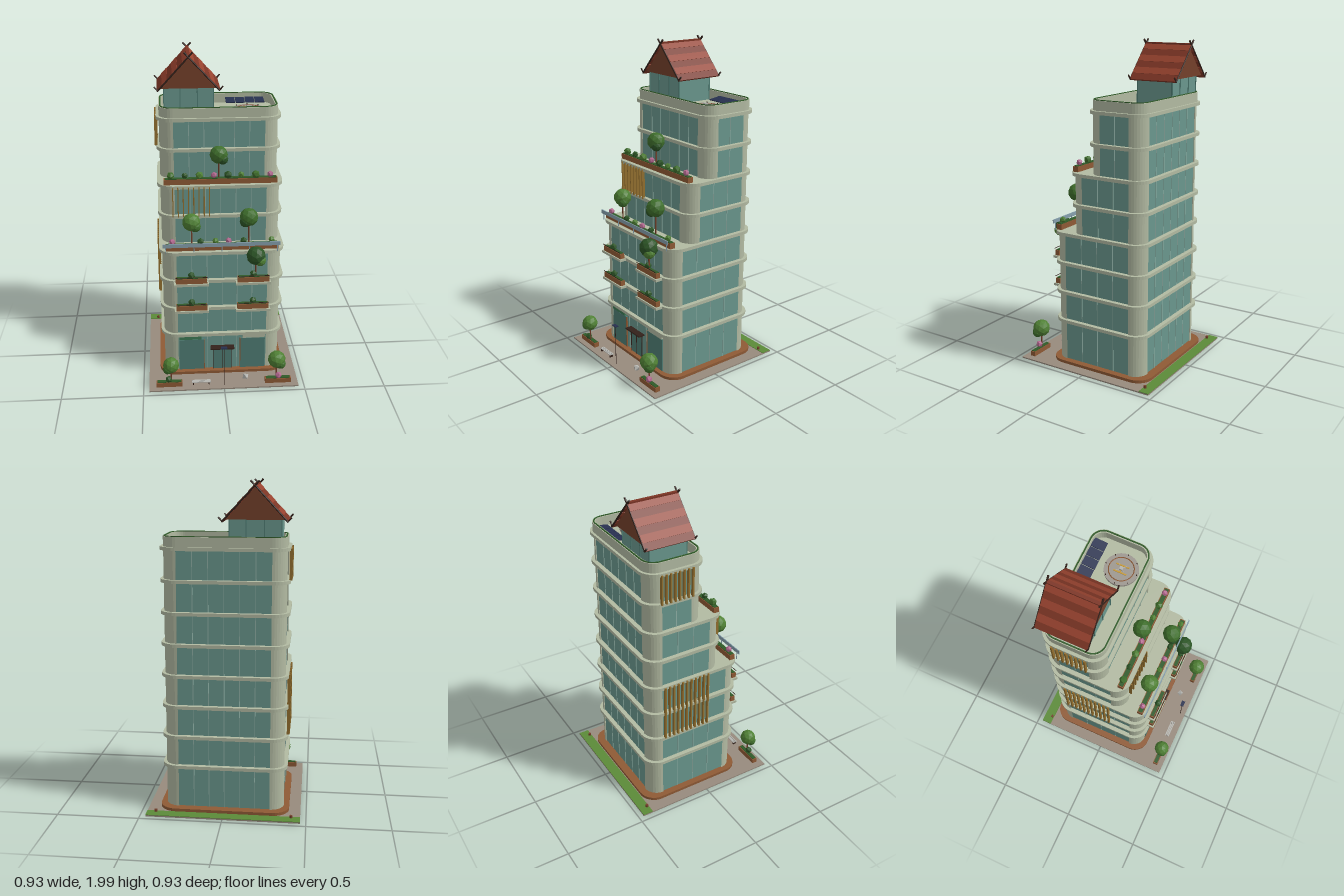
import * as THREE from 'three';

const C = { stone: 0xb2baa2, glass: 0x6a978d, shop: 0x4f7d74, mullion: 0x8fb0a6, wood: 0x8f5a35, slat: 0x94702f,
  dark: 0x33211a, tileA: 0x98432f, tileB: 0x7c3525, gable: 0x74402a, hedge: 0x2f5a28, grass: 0x5b8a38,
  paving: 0x978a7d, navy: 0x27304f, rail: 0x86a0ad, pink: 0xb3688f, yellow: 0xc79a35, grey: 0xb5b5b0, pad: 0x9d9890 };
const LEAVES = [0x3f6f2c, 0x2c5526, 0x4f8034];
const mats = {};
const mat = (color) => mats[color] ??= new THREE.MeshStandardMaterial({ color, flatShading: true, side: THREE.DoubleSide });

function add(parent, name, geo, color, x = 0, y = 0, z = 0) {
  const m = new THREE.Mesh(geo, mat(color));
  m.name = name;
  m.position.set(x, y, z);
  parent.add(m);
  return m;
}

// Box given by its extents on each axis
function box(parent, name, color, x0, x1, y0, y1, z0, z1) {
  return add(parent, name, new THREE.BoxGeometry(x1 - x0, y1 - y0, z1 - z0), color, (x0 + x1) / 2, (y0 + y1) / 2, (z0 + z1) / 2);
}

// Rounded rectangle in plan; the shape's y is -z
function plan(x, z0, z1, r, Type = THREE.Shape) {
  const s = new Type(), a = -z1, b = -z0;
  s.moveTo(-x + r, a);
  s.absarc(x - r, a + r, r, -Math.PI / 2, 0);
  s.absarc(x - r, b - r, r, 0, Math.PI / 2);
  s.absarc(-x + r, b - r, r, Math.PI / 2, Math.PI);
  s.absarc(-x + r, a + r, r, Math.PI, Math.PI * 1.5);
  return s;
}

function extrudeUp(parent, name, shape, color, y0, y1) {
  const g = new THREE.ExtrudeGeometry(shape, { depth: y1 - y0, bevelEnabled: false, curveSegments: 4 });
  return add(parent, name, g.rotateX(-Math.PI / 2), color, 0, y0, 0);
}

function ring(parent, name, color, x, z0, z1, r, t, y0, y1) {
  const s = plan(x, z0, z1, r);
  s.holes.push(plan(x - t, z0 + t, z1 - t, r - t, THREE.Path));
  return extrudeUp(parent, name, s, color, y0, y1);
}

// Thin bar between two points
function bar(parent, name, color, a, b, r, sides = 6) {
  const p = new THREE.Vector3(...a), d = new THREE.Vector3(...b).sub(p);
  const m = add(parent, name, new THREE.CylinderGeometry(r, r, d.length(), sides), color);
  m.position.copy(p).addScaledVector(d, 0.5);
  m.quaternion.setFromUnitVectors(new THREE.Vector3(0, 1, 0), d.normalize());
  return m;
}

function shrub(parent, x, y, z, r, color) {
  const m = add(parent, 'shrub', new THREE.IcosahedronGeometry(r, 0), color, x, y, z);
  m.rotation.set(x * 9, x * 20, z * 5);
}

function tree(parent, x, y0, y, z, r, i) {
  const t = new THREE.Group();
  t.name = 'tree';
  bar(t, 'trunk', C.gable, [x, y0, z], [x, y, z], 0.005);
  const crown = add(t, 'crown', new THREE.IcosahedronGeometry(r, 1), LEAVES[i % 3], x, y, z);
  crown.rotation.set(i, i * 2, 0);
  const s = i % 2 ? -1 : 1;
  add(t, 'sideCrown', new THREE.IcosahedronGeometry(r * 0.62, 1), LEAVES[(i + 1) % 3], x + s * r * 0.4, y - r * 0.42, z + r * 0.25);
  parent.add(t);
}

function planter(parent, x0, x1, y0, y1, z0, z1) {
  box(parent, 'planter', C.wood, x0, x1, y0, y1, z0, z1);
  box(parent, 'planterGreenery', C.hedge, x0 + 0.006, x1 - 0.006, y1, y1 + 0.004, z0 + 0.004, z1 - 0.004);
}

// One set-back stage: glass core, curved corner piers and mullions
const X = 0.362, BACK = -0.352, R = 0.085;
function tier(parent, y0, y1, front) {
  const g = new THREE.Group();
  g.name = 'towerStage';
  const d = 0.008;
  extrudeUp(g, 'glassCore', plan(X - d, BACK + d, front - d, R - d), C.glass, y0, y1);
  for (const sx of [-1, 1]) for (const [ze, sz] of [[front, -1], [BACK, 1]]) {
    const cx = sx * (X - R), cy = -(ze + sz * R), s = new THREE.Shape();
    const start = Math.atan2(sz, sx) - Math.PI / 4;
    s.moveTo(cx, cy);
    s.absarc(cx, cy, R, start, start + Math.PI / 2);
    extrudeUp(g, 'cornerPier', s, C.stone, y0, y1);
  }
  for (let i = 1; i < 6; i++) {
    const x = -0.277 + i * 0.0923;
    for (const z of [front - d, BACK + d]) box(g, 'mullion', C.mullion, x - 0.002, x + 0.002, y0, y1, z - 0.003, z + 0.003);
  }
  const zA = BACK + R, n = Math.round((front - R - zA) / 0.1);
  for (let i = 1; i < n; i++) {
    const z = zA + (front - R - zA) * i / n;
    for (const x of [-X + d, X - d]) box(g, 'mullion', C.mullion, x - 0.003, x + 0.003, y0, y1, z - 0.002, z + 0.002);
  }
  parent.add(g);
}

function penthouse(parent) {
  const g = new THREE.Group();
  g.name = 'penthouse';
  const cx = -0.178, top = 1.97, eave = 1.768, hw = 0.187, z0 = -0.37, z1 = -0.06;
  box(g, 'penthouseWalls', C.glass, -0.33, -0.026, 1.62, 1.79, -0.325, -0.09);
  for (const x of [-0.328, -0.23, -0.126, -0.028]) for (const z of [-0.325, -0.09])
    box(g, 'penthousePost', C.shop, x - 0.003, x + 0.003, 1.62, 1.79, z - 0.004, z + 0.004);
  // Gable fill under the roof
  const tri = new THREE.Shape([new THREE.Vector2(-hw + 0.02, eave + 0.012), new THREE.Vector2(hw - 0.02, eave + 0.012), new THREE.Vector2(0, top - 0.012)]);
  add(g, 'gable', new THREE.ExtrudeGeometry(tri, { depth: z1 - z0 - 0.03, bevelEnabled: false }), C.gable, cx, 0, z0 + 0.015);
  const len = Math.hypot(hw, top - eave), ang = Math.atan2(top - eave, hw), rows = 6;
  for (const s of [-1, 1]) {
    for (let i = 0; i < rows; i++) {
      const t = (i + 0.5) / rows;
      const m = add(g, 'roofTileRow', new THREE.BoxGeometry(len / rows, i % 2 ? 0.011 : 0.015, z1 - z0), i % 2 ? C.tileB : C.tileA,
        cx + s * hw * t, top - (top - eave) * t, (z0 + z1) / 2);
      m.rotation.z = -s * ang;
    }
    // Bargeboards crossing at the ridge and hooked up at the eaves
    for (const z of [z0, z1]) {
      bar(g, 'bargeboard', C.dark, [cx - s * 0.025, 1.997, z], [cx + s * hw, eave, z], 0.006);
      bar(g, 'eaveHook', C.dark, [cx + s * (hw - 0.006), eave, z], [cx + s * 0.206, 1.795, z], 0.005);
    }
  }
  box(g, 'ridgeCap', C.tileB, cx - 0.01, cx + 0.01, top, top + 0.01, z0, z1);
  parent.add(g);
}

function roofDeck(parent) {
  const g = new THREE.Group();
  g.name = 'roofDeck';
  ring(g, 'parapet', C.stone, X, -0.357, 0.01, R, 0.02, 1.61, 1.68);
  ring(g, 'parapetGreenery', C.hedge, X - 0.005, -0.352, 0.005, R - 0.005, 0.008, 1.68, 1.684);
  // Solar panels
  for (let i = 0; i < 4; i++) {
    const x = 0.06 + i * 0.0615;
    box(g, 'solarPanel', C.navy, x, x + 0.057, 1.645, 1.65, -0.35, -0.255).rotation.x = 0.15;
  }
  // Landing pad with drone
  const px = 0.187, pz = -0.12;
  add(g, 'landingPad', new THREE.CylinderGeometry(0.1, 0.1, 0.015, 28), C.pad, px, 1.632, pz);
  add(g, 'padRing', new THREE.TorusGeometry(0.073, 0.003, 4, 28).rotateX(Math.PI / 2), C.wood, px, 1.641, pz);
  for (const s of [-1, 1]) {
    box(g, 'padMarking', C.yellow, px + s * 0.022 - 0.004, px + s * 0.022 + 0.004, 1.639, 1.643, pz - 0.04, pz + 0.04);
    bar(g, 'droneArm', C.grey, [px - 0.022, 1.652, pz - s * 0.025], [px + 0.022, 1.652, pz + s * 0.025], 0.002);
  }
  box(g, 'padMarking', C.yellow, px - 0.02, px + 0.02, 1.639, 1.643, pz - 0.004, pz + 0.004);
  box(g, 'droneBody', C.grey, px - 0.01, px + 0.01, 1.645, 1.658, pz - 0.01, pz + 0.01);
  for (let i = 0; i < 8; i++) {
    const a = i * Math.PI / 4;
    add(g, 'padLight', new THREE.CylinderGeometry(0.003, 0.003, 0.008, 6), C.dark, px + 0.094 * Math.cos(a), 1.643, pz + 0.094 * Math.sin(a));
  }
  parent.add(g);
}

function gardens(parent) {
  const g = new THREE.Group();
  g.name = 'gardens';
  // Upper terrace
  planter(g, -0.342, 0.342, 1.243, 1.277, 0.095, 0.13);
  [-0.3, -0.215, -0.127, -0.04, 0.045, 0.125, 0.212, 0.3].forEach((x, i) =>
    shrub(g, x, 1.296, 0.113, i % 2 ? 0.02 : 0.025, i === 3 || i === 7 ? C.pink : LEAVES[i % 3]));
  tree(g, -0.01, 1.27, 1.42, 0.1, 0.055, 0);
  // Middle terrace with glass rail
  planter(g, -0.342, 0.342, 0.868, 0.902, 0.225, 0.26);
  box(g, 'glassRail', C.rail, -0.358, 0.348, 0.902, 0.926, 0.279, 0.285);
  for (let i = 0; i < 5; i++) bar(g, 'railPost', C.rail, [-0.34 + i * 0.168, 0.86, 0.278], [-0.34 + i * 0.168, 0.91, 0.278], 0.003);
  [-0.3, -0.13, -0.04, 0.04, 0.13, 0.3].forEach((x, i) =>
    shrub(g, x, 0.922, 0.243, 0.02, i === 0 || i === 3 ? C.pink : LEAVES[i % 3]));
  tree(g, -0.183, 0.9, 1.045, 0.235, 0.055, 2);
  tree(g, 0.162, 0.9, 1.068, 0.232, 0.056, 3);
  // Hanging balconies
  for (const y of [0.49, 0.675]) for (const [x0, x1] of [[-0.285, -0.095], [0.09, 0.283]]) {
    box(g, 'balconySlab', C.stone, x0 - 0.01, x1 + 0.01, y - 0.015, y, 0.26, 0.328);
    planter(g, x0, x1, y, y + 0.033, 0.29, 0.32);
    bar(g, 'balconyRail', C.dark, [x0, y + 0.044, 0.324], [x1, y + 0.044, 0.324], 0.002);
    shrub(g, (x0 + x1) / 2, y + 0.052, 0.307, 0.023, LEAVES[1]);
  }
  tree(g, 0.2, 0.7, 0.848, 0.31, 0.058, 4);
  // Street planters
  for (const s of [-1, 1]) {
    planter(g, s * 0.34 - 0.081, s * 0.34 + 0.081, 0.016, 0.046, 0.397, 0.43);
    shrub(g, s * 0.342, 0.066, 0.42, 0.022, s > 0 ? C.pink : LEAVES[1]);
  }
  tree(g, -0.327, 0.04, 0.168, 0.418, 0.05, 5);
  tree(g, 0.33, 0.04, 0.177, 0.41, 0.055, 2);
  parent.add(g);
}

function streetLevel(parent) {
  const g = new THREE.Group();
  g.name = 'streetLevel';
  box(g, 'paving', C.paving, -0.465, 0.465, 0.008, 0.016, -0.468, 0.465);
  box(g, 'lawn', C.grass, -0.465, 0.465, 0.016, 0.019, -0.468, -0.403);
  extrudeUp(g, 'plinth', plan(0.395, -0.397, 0.298, 0.1), C.wood, 0.01, 0.034);
  // Entrance and shopfronts
  box(g, 'entranceDoor', C.shop, -0.056, 0.056, 0.034, 0.19, 0.262, 0.27);
  for (const x of [-0.058, 0, 0.058]) box(g, 'doorFrame', C.dark, x - 0.002, x + 0.002, 0.034, 0.192, 0.268, 0.273);
  box(g, 'entranceCanopy', C.dark, -0.075, 0.075, 0.193, 0.2, 0.26, 0.305);
  for (const s of [-1, 1]) {
    box(g, 'shopfront', C.shop, s * 0.193 - 0.078, s * 0.193 + 0.078, 0.034, 0.25, 0.255, 0.269);
    box(g, 'shopFrame', C.wood, s * 0.114 - 0.002, s * 0.114 + 0.002, 0.034, 0.25, 0.262, 0.272);
    box(g, 'shopFascia', s > 0 ? C.stone : 0x3d7a55, s * 0.2 - 0.07, s * 0.2 + 0.07, 0.254, 0.278, 0.258, 0.273);
    add(g, 'lawnLight', new THREE.CylinderGeometry(0.009, 0.009, 0.018, 8), C.gable, s * 0.41, 0.025, -0.415);
  }
  // Bench, lamp and boulder
  for (let i = 0; i < 3; i++) box(g, 'benchSlat', C.grey, -0.2, -0.082, 0.034, 0.038, 0.395 + i * 0.01, 0.403 + i * 0.01);
  for (const x of [-0.19, -0.092]) box(g, 'benchLeg', C.dark, x - 0.003, x + 0.003, 0.016, 0.034, 0.397, 0.421);
  bar(g, 'lampPost', C.dark, [0, 0.016, 0.431], [0, 0.285, 0.431], 0.002);
  box(g, 'lampPanel', C.navy, -0.019, 0.019, 0.284, 0.289, 0.42, 0.443);
  add(g, 'boulder', new THREE.OctahedronGeometry(0.023, 0), C.grey, 0.14, 0.032, 0.37).rotation.set(0.4, 0.5, 0.3);
  parent.add(g);
}

export function createModel() {
  const model = new THREE.Group();
  model.name = 'terracedTower';
  streetLevel(model);
  tier(model, 0.034, 0.86, 0.267);
  tier(model, 0.86, 1.235, 0.14);
  tier(model, 1.235, 1.61, 0.01);
  // Floor slabs, each following the stage below it
  for (let i = 0; i < 8; i++) {
    const y = 0.292 + i * 0.1885, front = i < 4 ? 0.285 : i < 6 ? 0.157 : 0.026;
    extrudeUp(model, 'floorSlab', plan(0.381, -0.372, front, 0.1), C.stone, y - 0.01, y + 0.01);
  }
  // Timber screens
  const slats = (n, f) => { for (let i = 0; i < n; i++) f(i / (n - 1)); };
  slats(8, (t) => { const x = -0.29 + t * 0.22; box(model, 'frontSlat', C.slat, x - 0.003, x + 0.003, 1.05, 1.238, 0.146, 0.165); });
  slats(8, (t) => { const z = -0.28 + t * 0.2; box(model, 'sideSlat', C.slat, -0.39, -0.372, 1.43, 1.612, z - 0.005, z + 0.005); });
  slats(11, (t) => { const z = -0.26 + t * 0.3; box(model, 'sideSlat', C.slat, -0.39, -0.372, 0.49, 0.862, z - 0.005, z + 0.005); });
  gardens(model);
  roofDeck(model);
  penthouse(model);
  return model;
}
